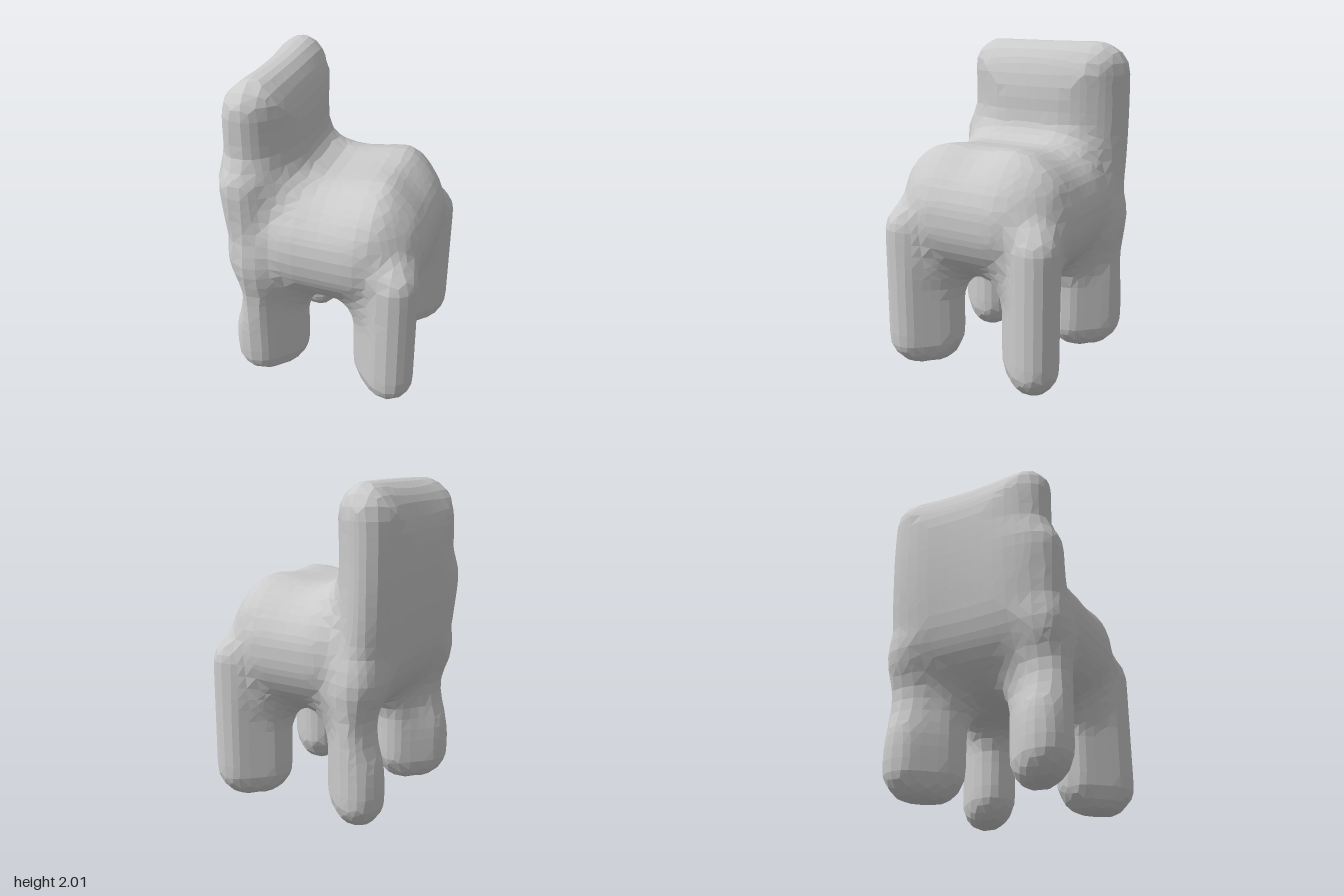
import * as THREE from 'three';

const CELL = 0.075;
const { hypot, abs, max, min, exp, SQRT1_2 } = Math;
const { smoothstep } = THREE.MathUtils;
const bump = (t, width) => exp(-((t / width) ** 2));

// Distance from a point to a box of half sizes (a, b, c) swollen by radius r
const roundBox = (x, y, z, a, b, c, r) => {
  const u = abs(x) - a, v = abs(y) - b, w = abs(z) - c;
  return hypot(max(u, 0), max(v, 0), max(w, 0)) + min(max(u, v, w), 0) - r;
};

// Pillow-edged slab: rounded rectangle in (u, v), half thickness along t fading over `fade` at the rim
const slab = (t, u, v, halfU, halfV, corner, thick, fade) => {
  const rim = roundBox(u, v, 0, halfU - corner, halfV - corner, 1, corner);
  return (hypot(t / thick, max(0, 1 + rim / fade)) - 1) * thick;
};

// Union of two distances with a soft fillet of size k
const blend = (a, b, k) => {
  const h = max(k - abs(a - b), 0) / k;
  return min(a, b) - h * h * k / 4;
};

// Thick cushion with generously rounded edges, sunken in the middle and raised toward the front
const seat = (x, y, z) => {
  const notch = 0.03 * bump(x - 0.42, 0.15) * bump(z, 0.15);
  const sink = 0.03 * bump(x - 0.02, 0.17) - 0.03 * bump(x - 0.37, 0.1) + notch;
  const top = y + sink * smoothstep(y, 1, 1.3);
  return roundBox(x - 0.045, top - 1.01, z, 0.165, 0.01, 0.183, 0.4);
};

// Tall slab, bowed in height and width, with its left side stepping out lower down
const backrest = (x, y, z) => {
  const cx = -0.395 - 0.2 * z * z + 0.14 * (y - 1.6) ** 2;
  const widen = z > 0 ? 0.08 * (1 - smoothstep(y, 1.38, 1.6)) : 0;
  return slab(x - cx, z - widen + 0.035, y - 1.342, 0.543, 0.662, 0.19, 0.225, 0.38);
};

// Round-ended leg, wider along the diagonal of the seat
const leg = (cx, cz) => (x, y, z) => {
  // hollow on the rear face of the two back legs
  const dent = cx < 0 ? 0.07 * bump(y - 0.63, 0.18) * smoothstep(cx - x, -0.05, 0.2) : 0;
  const dx = x - dent - cx, dz = (z - cz) * Math.sign(cx * cz);
  return slab((dx - dz) * SQRT1_2, (dx + dz) * SQRT1_2, y - 0.54, 0.243, 0.542, 0.2, 0.147, 0.155);
};

const parts = {
  seat,
  backrest,
  frontLeftLeg: leg(0.41, 0.378),
  backLeftLeg: leg(0.41, -0.378),
  frontRightLeg: leg(-0.34, 0.378),
  backRightLeg: leg(-0.34, -0.378),
};
const legs = Object.values(parts).slice(2);

const body = (x, y, z) => {
  const legDistance = min(...legs.map((f) => f(x, y, z)));
  const arch = 0.07 + 0.13 * (1 - smoothstep(y, 0.55, 0.9));
  const fillet = 0.08 + 0.07 * smoothstep(y, 1.2, 1.4);
  return blend(blend(seat(x, y, z), legDistance, arch), backrest(x, y, z), fillet);
};

const gradient = (x, y, z, e = 0.004) => new THREE.Vector3(
  body(x + e, y, z) - body(x - e, y, z),
  body(x, y + e, z) - body(x, y - e, z),
  body(x, y, z + e) - body(x, y, z - e),
).divideScalar(2 * e);

// Faceted skin over the blended body: one vertex per crossed cell, one quad per crossed edge
function skin() {
  const size = [20, 30, 20], origin = [-0.75, -0.11, -0.72];
  const step = [1, size[0], size[0] * size[1]];
  const at = (i, axis) => origin[axis] + i * CELL;
  const field = [], points = new Map(), quads = [];

  const everyCell = (visit) => {
    for (let k = 0; k < size[2]; k++)
      for (let j = 0; j < size[1]; j++)
        for (let i = 0; i < size[0]; i++) visit([i, j, k], i + j * step[1] + k * step[2]);
  };
  everyCell(([i, j, k], id) => { field[id] = body(at(i, 0), at(j, 1), at(k, 2)); });

  everyCell((c, id) => {
    if (c.some((n, axis) => n >= size[axis] - 1)) return;
    const sum = new THREE.Vector3();
    let count = 0;
    for (let corner = 0; corner < 8; corner++) {
      const bits = [corner & 1, (corner >> 1) & 1, (corner >> 2) & 1];
      const a = id + bits[0] * step[0] + bits[1] * step[1] + bits[2] * step[2];
      for (let axis = 0; axis < 3; axis++) {
        if (bits[axis]) continue;
        const b = a + step[axis];
        if ((field[a] < 0) === (field[b] < 0)) continue;
        const p = c.map((n, m) => at(n + bits[m], m));
        p[axis] += CELL * field[a] / (field[a] - field[b]);
        sum.add(new THREE.Vector3(...p));
        count++;
      }
    }
    if (!count) return;
    const p = sum.divideScalar(count);
    // settle the vertex onto the surface
    for (let n = 0; n < 3; n++) {
      const g = gradient(p.x, p.y, p.z);
      p.addScaledVector(g, -body(p.x, p.y, p.z) / max(g.lengthSq(), 0.3));
    }
    points.set(id, p);
  });

  everyCell((c, id) => {
    for (let axis = 0; axis < 3; axis++) {
      const s = step[(axis + 1) % 3], t = step[(axis + 2) % 3];
      if (c[axis] >= size[axis] - 1 || (field[id] < 0) === (field[id + step[axis]] < 0)) continue;
      const quad = [id, id - s, id - s - t, id - t].map((n) => points.get(n));
      quads.push(field[id] < 0 ? quad : quad.reverse());
    }
  });
  return quads;
}

export function createModel() {
  const group = new THREE.Group();
  group.name = 'chair';
  const material = new THREE.MeshStandardMaterial({ color: 0xcccccc, flatShading: true });

  // Share the quads out to the part each lies nearest to
  const names = Object.keys(parts);
  const corners = Object.fromEntries(names.map((name) => [name, []]));
  for (const [a, b, c, d] of skin()) {
    const m = a.clone().add(b).add(c).add(d).divideScalar(4);
    const distances = names.map((name) => parts[name](m.x, m.y, m.z));
    const owner = names[distances.indexOf(min(...distances))];
    const cutAC = a.distanceTo(c) < b.distanceTo(d);
    corners[owner].push(...(cutAC ? [a, b, c, a, c, d] : [a, b, d, b, c, d]));
  }

  for (const name of names) {
    const geometry = new THREE.BufferGeometry().setFromPoints(corners[name]);
    geometry.computeVertexNormals();
    const mesh = new THREE.Mesh(geometry, material);
    mesh.name = name;
    group.add(mesh);
  }
  return group;
}
